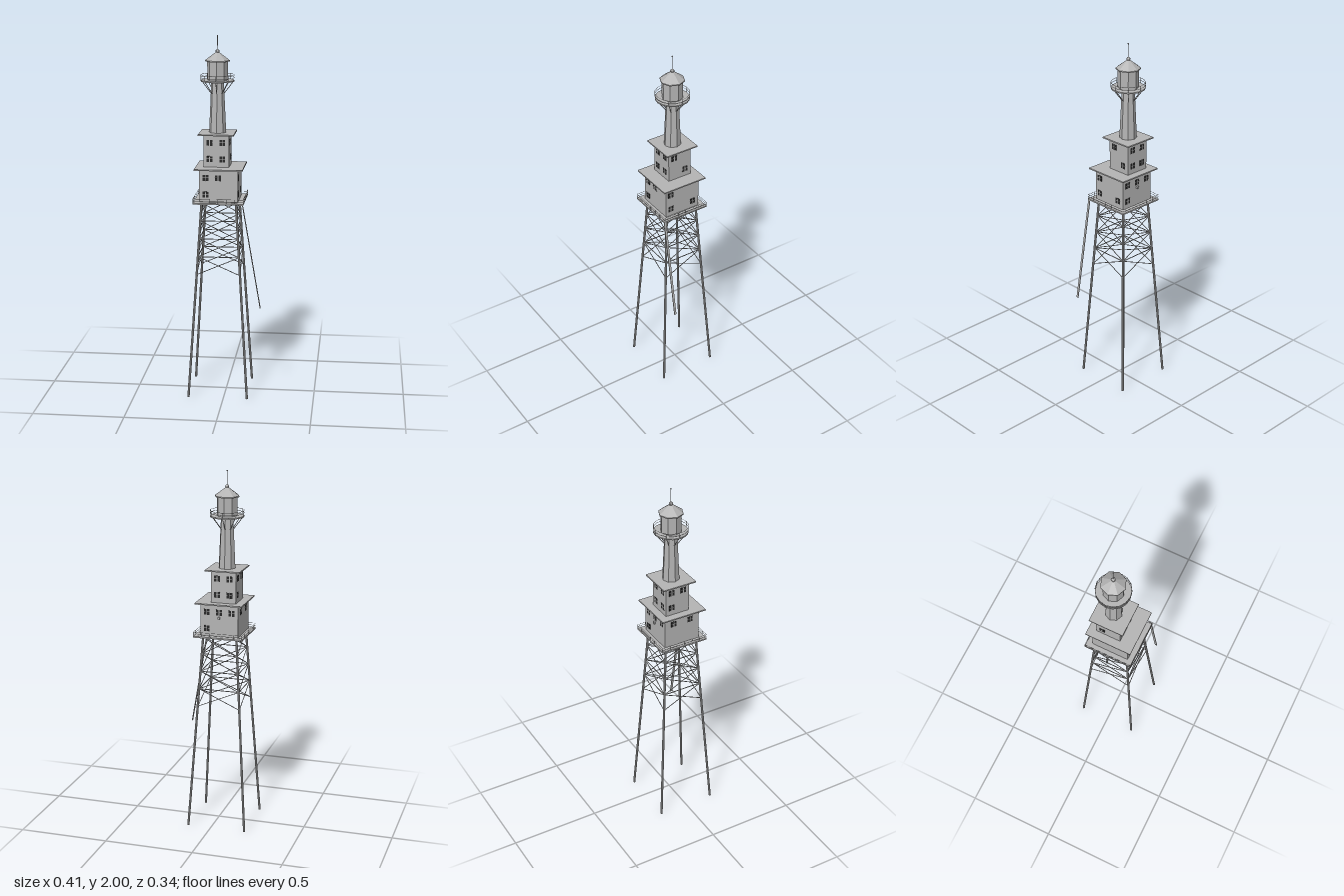
import * as THREE from 'three';

const steel = new THREE.MeshStandardMaterial({ color: 0xb4b4b4 });
steel.name = 'grey paint';
const glass = new THREE.MeshStandardMaterial({ color: 0x262626 });
glass.name = 'dark glass';
steel.flatShading = true;

const V = (x, y, z) => new THREE.Vector3(x, y, z);

function add(parent, name, geometry, x, y, z, material = steel) {
  const mesh = new THREE.Mesh(geometry, material);
  mesh.name = name;
  mesh.position.set(x, y, z);
  parent.add(mesh);
  return mesh;
}

function box(parent, name, w, h, d, x, y, z, material) {
  return add(parent, name, new THREE.BoxGeometry(w, h, d), x, y, z, material);
}

// Round bar between two points
function bar(parent, name, a, b, r, sides = 5) {
  const mid = a.clone().add(b).multiplyScalar(0.5);
  const mesh = add(parent, name, new THREE.CylinderGeometry(r, r, a.distanceTo(b), sides), mid.x, mid.y, mid.z);
  mesh.quaternion.setFromUnitVectors(V(0, 1, 0), b.clone().sub(a).normalize());
  return mesh;
}

// Eight-sided (or other) drum standing on y0
function drum(parent, name, rBottom, rTop, y0, y1, sides = 8) {
  return add(parent, name, new THREE.CylinderGeometry(rTop, rBottom, y1 - y0, sides), 0, (y0 + y1) / 2, 0);
}

// Window facing +z: dark pane with a light cross of glazing bars
function addWindow(parent, u, y, half) {
  const w = new THREE.Group();
  w.name = 'window';
  w.position.set(u, y, half);
  box(w, 'pane', 0.032, 0.032, 0.003, 0, 0, 0, glass);
  box(w, 'mullion', 0.004, 0.032, 0.003, 0, 0, 0.001);
  box(w, 'transom', 0.032, 0.002, 0.003, 0, 0.002, 0.001);
  parent.add(w);
}

// House block with flat roof; windows lists [u, y] for front, right, back, left
function house(parent, name, cx, cz, half, y0, y1, roofHalf, windows) {
  const g = new THREE.Group();
  g.name = name;
  g.position.set(cx, 0, cz);
  box(g, 'walls', half * 2, y1 - y0, half * 2, 0, (y0 + y1) / 2, 0);
  box(g, 'roof', roofHalf * 2, 0.007, roofHalf * 2, 0, y1 + 0.0015, 0);
  windows.forEach((list, i) => {
    const side = new THREE.Group();
    side.name = 'wallWindows';
    side.rotation.y = i * Math.PI / 2;
    list.forEach(([u, y]) => addWindow(side, u, y, half));
    g.add(side);
  });
  parent.add(g);
}

export function createModel() {
  const model = new THREE.Group();
  model.name = 'lighthouse';

  // Splayed legs and cross bracing, centred under the deck
  const base = new THREE.Group();
  base.name = 'legFrame';
  base.position.x = -0.032;
  model.add(base);
  const spread = y => 0.164 - 0.07 * y / 1.1;
  const corners = [[1, 1], [1, -1], [-1, -1], [-1, 1]];
  const at = (c, y) => V(c[0] * spread(y), y, c[1] * spread(y));
  corners.forEach((c, i) => {
    const n = corners[(i + 1) % 4];
    bar(base, 'leg', at(c, 0.001), at(c, 1.1), 0.0065, 8);
    for (let y = 0.7; y < 1.05; y += 0.1) {
      bar(base, 'diagonalBrace', at(c, y), at(n, y + 0.1), 0.0022);
      bar(base, 'diagonalBrace', at(n, y), at(c, y + 0.1), 0.0022);
      if (y > 0.75) bar(base, 'horizontalBrace', at(c, y), at(n, y), 0.0026);
    }
  });

  // Main deck with railing
  box(base, 'deck', 0.276, 0.008, 0.276, 0, 1.102, 0);
  corners.forEach((c, i) => {
    const n = corners[(i + 1) % 4];
    const h = 0.137;
    for (const y of [1.117, 1.129]) {
      bar(base, 'deckRail', V(c[0] * h, y, c[1] * h), V(n[0] * h, y, n[1] * h), 0.001);
    }
    for (let k = 0; k < 6; k++) {
      const p = V(c[0] * h, 1.1, c[1] * h).lerp(V(n[0] * h, 1.1, n[1] * h), k / 6);
      bar(base, 'deckPost', p, p.clone().setY(1.129), 0.001);
    }
  });

  // Sloping ladder plank at the front right corner of the deck
  const ladder = box(model, 'ladder', 0.004, Math.hypot(0.1, 0.58), 0.013, 0.151, 0.811, 0.131);
  ladder.rotation.z = Math.atan2(0.1, 0.58);

  // Two stacked houses
  house(model, 'lowerHouse', -0.032, 0, 0.105, 1.104, 1.285, 0.132, [
    [[-0.071, 1.24], [-0.002, 1.24], [-0.071, 1.148]],
    [[-0.075, 1.238], [-0.075, 1.148], [0.066, 1.148]],
    [[-0.07, 1.24], [0, 1.24], [0.07, 1.24], [-0.07, 1.148]],
    [[-0.05, 1.24], [0.05, 1.24]],
  ]);
  house(model, 'upperHouse', -0.05, -0.018, 0.07, 1.287, 1.467, 0.097, [
    [[-0.036, 1.424], [0.033, 1.424], [-0.036, 1.334], [0.033, 1.334]],
    [[-0.035, 1.424], [0.033, 1.334]],
    [[-0.035, 1.424], [0.035, 1.424], [-0.035, 1.334], [0.035, 1.334]],
    [[-0.035, 1.424], [0.035, 1.424], [-0.035, 1.334]],
  ]);
  box(model, 'wallLamp', 0.012, 0.012, 0.012, -0.032, 1.21, -0.109);

  // Tapered tower, gallery and lantern
  const tower = new THREE.Group();
  tower.name = 'tower';
  tower.position.set(-0.05, 0, -0.018);
  model.add(tower);
  drum(tower, 'shaft', 0.047, 0.034, 1.468, 1.755);
  drum(tower, 'galleryFloor', 0.092, 0.092, 1.75, 1.757, 16);
  drum(tower, 'lantern', 0.056, 0.056, 1.757, 1.862);
  drum(tower, 'eave', 0.067, 0.067, 1.858, 1.864);
  drum(tower, 'lanternRoof', 0.067, 0.008, 1.864, 1.908);
  add(tower, 'roofBall', new THREE.SphereGeometry(0.011, 10, 8), 0, 1.912, 0);
  bar(tower, 'mast', V(0, 1.91, 0), V(0, 1.998, 0), 0.0016, 6);
  add(tower, 'mastTip', new THREE.SphereGeometry(0.004, 8, 6), 0, 1.996, 0);

  // Gallery railing and brackets
  for (const y of [1.771, 1.785]) {
    const rail = add(tower, 'galleryRail', new THREE.TorusGeometry(0.092, 0.0012, 4, 16), 0, y, 0);
    rail.rotation.x = Math.PI / 2;
  }
  for (let i = 0; i < 16; i++) {
    const a = i * Math.PI / 8;
    const p = (r, y) => V(r * Math.sin(a), y, r * Math.cos(a));
    if (i % 2 === 0) {
      bar(tower, 'galleryPost', p(0.092, 1.755), p(0.092, 1.785), 0.0012);
      bar(tower, 'galleryBracket', p(0.036, 1.685), p(0.086, 1.751), 0.002);
    }
  }
  return model;
}
